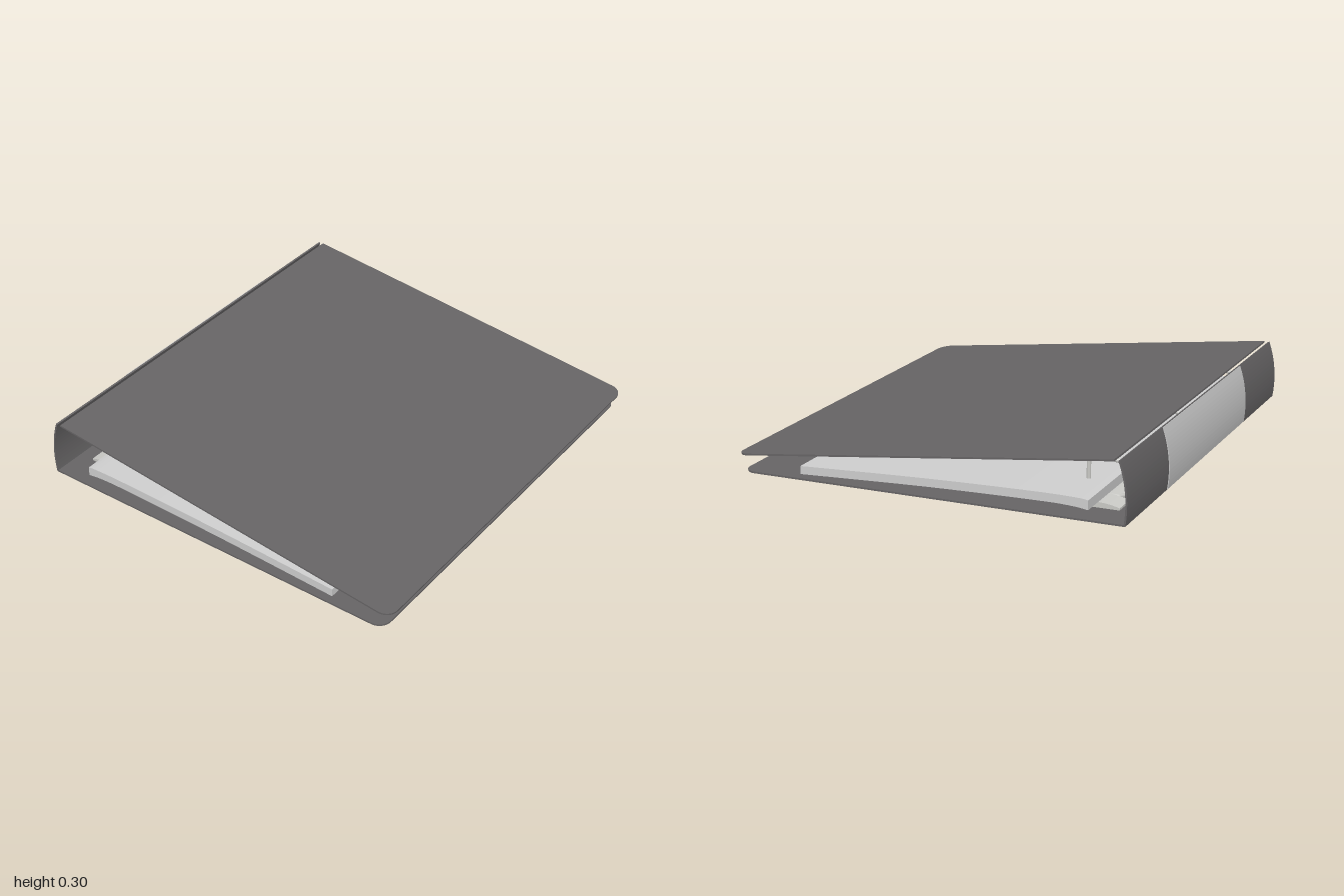
import * as THREE from 'three';

const mat = (name, color, side = THREE.FrontSide) => {
  const m = new THREE.MeshStandardMaterial({ color, side });
  m.name = name;
  return m;
};

export function createModel() {
  const binder = new THREE.Group();
  binder.name = 'ringBinder';
  const coverMat = mat('charcoal cover', 0x666465);
  const labelMat = mat('label grey', 0xc6c6c6);
  const paperMat = mat('paper', 0xcecece);
  const metalMat = mat('ring metal', 0xcacac6);

  const add = (name, geometry, material, parent = binder) => {
    const mesh = new THREE.Mesh(geometry, material);
    mesh.name = name;
    parent.add(mesh);
    return mesh;
  };

  // Extrude an x/y profile along z, centred on z = 0
  const extrudeZ = (shape, length) => {
    const g = new THREE.ExtrudeGeometry(shape, { depth: length, bevelEnabled: false, curveSegments: 12 });
    return g.translate(0, 0, -length / 2);
  };

  // Flat cover hinged at (x0, y0), ending at (x1, y1), free corners rounded
  const T = 0.008;
  const cover = (name, x0, y0, x1, y1) => {
    const len = Math.hypot(x1 - x0, y1 - y0), r = 0.06;
    const s = new THREE.Shape();
    s.moveTo(0, -1);
    s.lineTo(len - r, -1);
    s.absarc(len - r, -1 + r, r, -Math.PI / 2, 0, false);
    s.absarc(len - r, 1 - r, r, 0, Math.PI / 2, false);
    s.lineTo(0, 1);
    s.closePath();
    const g = new THREE.ExtrudeGeometry(s, { depth: T, bevelEnabled: false, curveSegments: 10 });
    g.rotateX(-Math.PI / 2);
    const mesh = add(name, g, coverMat);
    mesh.rotation.z = Math.atan2(y1 - y0, x1 - x0);
    mesh.position.set(x0, y0, 0);
  };
  cover('frontCover', -0.862, 0.297, 0.92, 0.072);
  cover('backCover', -0.91, 0.027, 0.89, 0.0);

  // Curved spine: a bowed strip between the two hinges
  const bow = (offset, thickness, a, b) => {
    const cx = -0.375, cy = 0.115, R = 0.545 + offset, n = 16;
    const pt = (r, i) => {
      const t = a + (b - a) * i / n;
      return new THREE.Vector2(cx + r * Math.cos(t), cy + r * Math.sin(t));
    };
    const pts = [];
    for (let i = 0; i <= n; i++) pts.push(pt(R, i));
    for (let i = n; i >= 0; i--) pts.push(pt(R - thickness, i));
    return new THREE.Shape(pts);
  };
  const A = Math.PI - 0.354, B = Math.PI + 0.16;
  add('spine', extrudeZ(bow(0, T, A, B), 2), coverMat);
  add('spineLabel', extrudeZ(bow(0.004, 0.0038, A + 0.005, B - 0.01), 1.04), labelMat);

  // Paper stack, bent up where it climbs onto the rings
  const top = new THREE.SplineCurve([[-0.74, 0.104], [-0.69, 0.109], [-0.5, 0.108], [0, 0.09], [0.612, 0.057]]
    .map(p => new THREE.Vector2(...p))).getPoints(20);
  const under = new THREE.SplineCurve([[0.612, 0.02], [0, 0.053], [-0.5, 0.07], [-0.66, 0.07], [-0.74, 0.062]]
    .map(p => new THREE.Vector2(...p))).getPoints(20);
  add('paperStack', extrudeZ(new THREE.Shape([...top, ...under]), 1.94), paperMat);

  // Ring mechanism: domed base plate with three D-shaped rings
  const mechanism = new THREE.Group();
  mechanism.name = 'ringMechanism';
  binder.add(mechanism);
  const base = new THREE.Shape();
  base.moveTo(-0.83, 0.034);
  base.lineTo(-0.63, 0.031);
  base.lineTo(-0.63, 0.04);
  base.quadraticCurveTo(-0.73, 0.072, -0.83, 0.043);
  base.closePath();
  add('basePlate', extrudeZ(base, 1.7), metalMat, mechanism);

  const v = (x, y) => new THREE.Vector3(x, y, 0);
  const ring = new THREE.CurvePath();
  ring.add(new THREE.LineCurve3(v(-0.66, 0.048), v(-0.78, 0.048)));
  ring.add(new THREE.CubicBezierCurve3(v(-0.78, 0.048), v(-0.88, 0.07), v(-0.87, 0.207), v(-0.745, 0.207)));
  ring.add(new THREE.LineCurve3(v(-0.745, 0.207), v(-0.665, 0.207)));
  ring.add(new THREE.QuadraticBezierCurve3(v(-0.665, 0.207), v(-0.643, 0.207), v(-0.643, 0.185)));
  ring.add(new THREE.LineCurve3(v(-0.643, 0.185), v(-0.643, 0.075)));
  ring.add(new THREE.QuadraticBezierCurve3(v(-0.643, 0.075), v(-0.643, 0.055), v(-0.66, 0.048)));
  const ringGeo = new THREE.TubeGeometry(ring, 64, 0.01, 8, true);
  for (const z of [-0.73, 0, 0.73]) add('ring', ringGeo, metalMat, mechanism).position.z = z;

  return binder;
}
